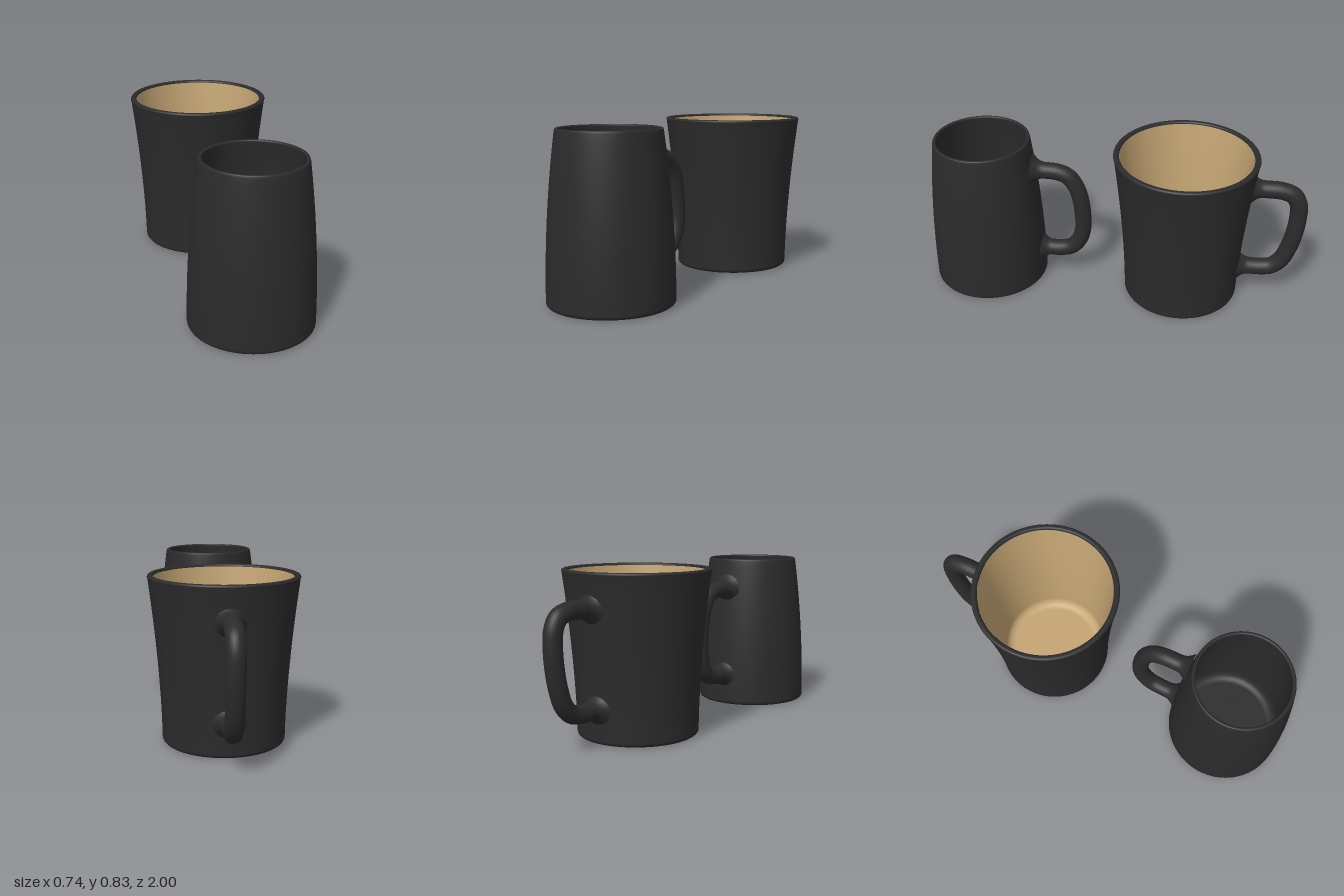
import * as THREE from 'three';
import { mergeVertices } from 'three/addons/utils/BufferGeometryUtils.js';

const H = 0.83;
const black = new THREE.MeshStandardMaterial({ color: 0x2b2b2b });
const tan = new THREE.MeshStandardMaterial({ color: 0xc4a473 });
const V2 = (x, y) => new THREE.Vector2(x, y);

// quarter round from angle a0 to a1 about (cx, cy)
function arc(cx, cy, r, a0, a1, n = 8) {
  return Array.from({ length: n + 1 }, (_, i) => {
    const a = a0 + (a1 - a0) * i / n;
    return V2(cx + r * Math.cos(a), cy + r * Math.sin(a));
  });
}

// wall points between two heights, following the radius rule
function wall(radius, y0, y1, n = 24) {
  return Array.from({ length: n + 1 }, (_, i) => {
    const y = y0 + (y1 - y0) * i / n;
    return V2(radius(y), y);
  });
}

// tube swept along the path, flared at both ends and trimmed to the curved wall
function handleGeometry(path, tubeRadius, radius) {
  const curve = new THREE.CatmullRomCurve3(path.map(([z, y]) => new THREE.Vector3(0, y, z)), false, 'centripetal');
  const rings = 110, sides = 24, length = curve.getLength();
  const geo = new THREE.TubeGeometry(curve, rings, tubeRadius, sides);
  const pos = geo.attributes.position, v = new THREE.Vector3();
  for (let i = 0; i <= rings; i++) {
    const u = i / rings, centre = curve.getPointAt(u);
    const s = Math.min(u, 1 - u) * length;
    const flare = 1 + 0.8 * Math.max(0, 1 - s / 0.065) ** 2;
    for (let j = 0; j <= sides; j++) {
      const k = i * (sides + 1) + j;
      v.fromBufferAttribute(pos, k).sub(centre).multiplyScalar(flare).add(centre);
      const surface = -Math.sqrt(radius(v.y) ** 2 - v.x ** 2) + 0.005;
      pos.setXYZ(k, v.x, v.y, Math.min(v.z, surface));
    }
  }
  geo.deleteAttribute('normal');
  geo.deleteAttribute('uv');
  const merged = mergeVertices(geo, 1e-5);
  merged.computeVertexNormals();
  return merged;
}

function createMug({ name, z, radius, thickness, liner, path, tubeRadius }) {
  const mug = new THREE.Group();
  mug.name = name;
  mug.position.z = z;
  const add = (part, geo, mat) => {
    const mesh = new THREE.Mesh(geo, mat);
    mesh.name = part;
    mug.add(mesh);
  };
  const e = 0.02, t = Math.min(0.012, thickness * 0.45), top = radius(H);
  const innerRadius = y => radius(y) - thickness;

  // outer shell with rounded foot and rim
  const foot = radius(e) - e;
  add('body', new THREE.LatheGeometry([
    ...arc(foot, e, e, -Math.PI / 2, 0),
    ...wall(radius, e + 0.01, H - t - 0.004),
    ...arc(top - t, H - t, t, 0, Math.PI / 2),
    ...arc(top - thickness + t, H - t, t, Math.PI / 2, Math.PI),
  ], 96), black);
  const base = new THREE.CircleGeometry(foot, 96);
  base.rotateX(Math.PI / 2);
  add('base', base, black);

  // inside wall running down into a rounded floor
  const floor = 0.04, c = 0.05;
  add('interior', new THREE.LatheGeometry([
    ...wall(innerRadius, H - t, floor + c + 0.01),
    ...arc(innerRadius(floor + c) - c, floor + c, c, 0, -Math.PI / 2),
    V2(0.12, floor), V2(0, floor),
  ], 96), liner);

  add('handle', handleGeometry(path, tubeRadius, radius), black);
  return mug;
}

export function createModel() {
  const model = new THREE.Group();
  model.name = 'mugs';

  // front mug, narrowing towards the rim
  model.add(createMug({
    name: 'taperedMug', z: 0.695, thickness: 0.018, liner: black, tubeRadius: 0.044,
    radius: y => 0.307 - 0.057 * (y / H) ** 2,
    path: [[-0.262, 0.665], [-0.33, 0.664], [-0.40, 0.66], [-0.455, 0.635], [-0.495, 0.575], [-0.518, 0.49],
      [-0.527, 0.4], [-0.526, 0.32], [-0.505, 0.245], [-0.46, 0.192], [-0.40, 0.174], [-0.34, 0.173], [-0.29, 0.173]],
  }));

  // rear mug, widening towards the rim, with a light lining
  model.add(createMug({
    name: 'flaredMug', z: -0.37, thickness: 0.03, liner: tan, tubeRadius: 0.045,
    radius: y => 0.305 + 0.065 * (Math.max(y, 0) / H) ** 1.7,
    path: [[-0.335, 0.662], [-0.41, 0.662], [-0.49, 0.66], [-0.55, 0.638], [-0.58, 0.585], [-0.586, 0.51],
      [-0.578, 0.41], [-0.56, 0.32], [-0.528, 0.235], [-0.48, 0.187], [-0.42, 0.174], [-0.36, 0.173], [-0.298, 0.173]],
  }));
  return model;
}
